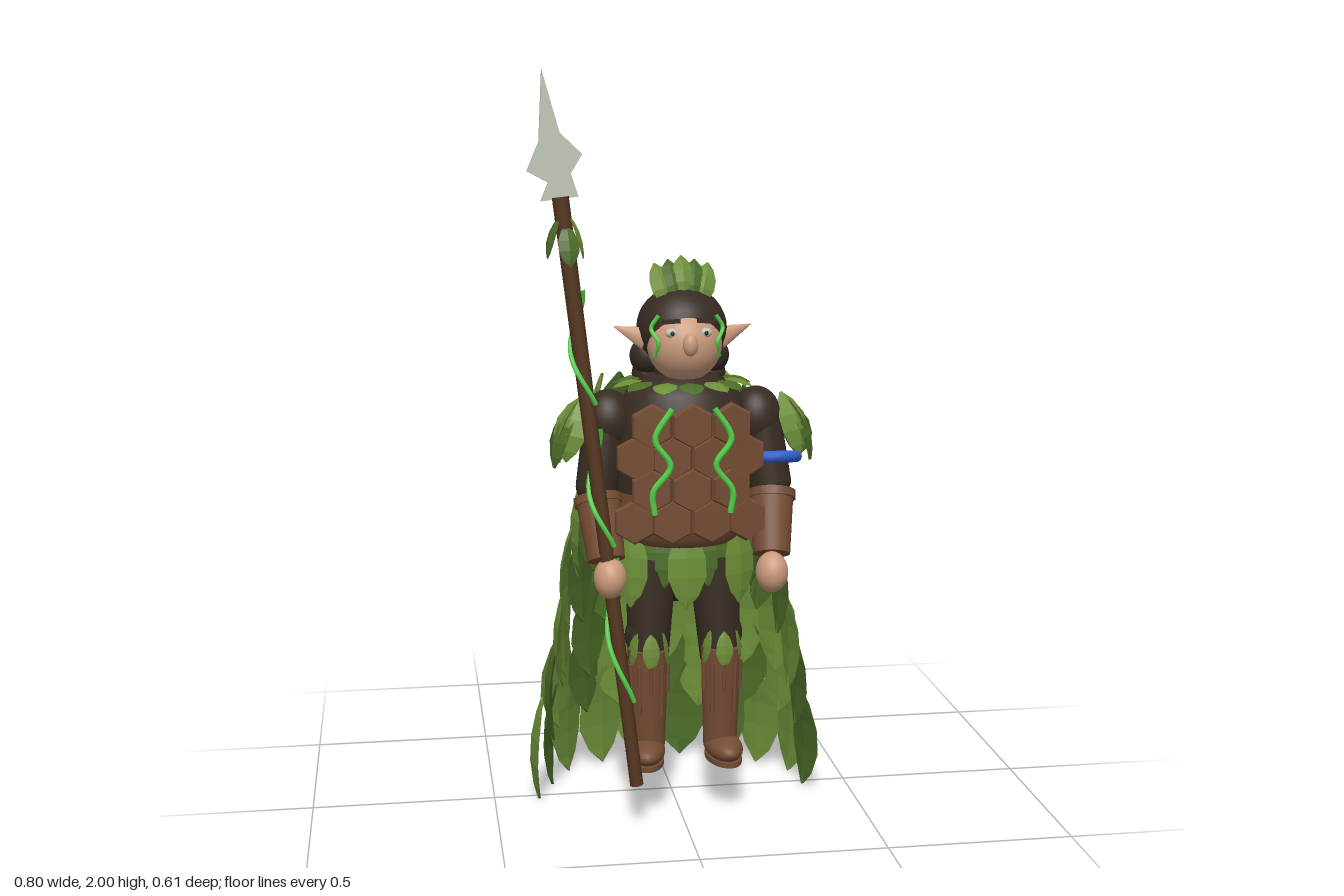
import * as THREE from 'three';

const V = (x, y, z) => new THREE.Vector3(x, y, z);
const CX = 0.017; // body axis

// Ridged leaf hanging from the origin to y = -1, outer face towards +z
function leafGeometry() {
  const rows = [[0, 0.08], [0.15, 0.62], [0.38, 0.98], [0.62, 1], [0.85, 0.6], [1, 0.03]];
  const ring = rows.map(([t, w]) => {
    const z = 0.18 * Math.sin(t * Math.PI);
    return [V(-w / 2, -t, z), V(0, -t, z + 0.16 * w + 0.04), V(w / 2, -t, z), V(0, -t, z - 0.06)];
  });
  const pos = [];
  const tri = (...p) => p.forEach((v) => pos.push(v.x, v.y, v.z));
  for (let i = 0; i < rows.length - 1; i++) {
    for (let j = 0; j < 4; j++) {
      const k = (j + 1) % 4;
      tri(ring[i][j], ring[i + 1][j], ring[i + 1][k]);
      tri(ring[i][j], ring[i + 1][k], ring[i][k]);
    }
  }
  const g = new THREE.BufferGeometry();
  g.setAttribute('position', new THREE.Float32BufferAttribute(pos, 3));
  g.computeVertexNormals();
  return g;
}

export function createModel() {
  const root = new THREE.Group();
  root.name = 'forestGuardian';
  const mat = (name, color) => {
    const m = new THREE.MeshStandardMaterial({ color });
    m.name = name;
    return m;
  };
  const dark = mat('darkCloth', 0x362b21), leafDark = mat('darkLeaf', 0x4c6c27);
  const leafLight = mat('lightLeaf', 0x6c8e38), vine = mat('vineGreen', 0x55d44a);
  const leather = mat('leather', 0x744c33), bark = mat('bark', 0x55351e);
  const skin = mat('skin', 0xcc9b7d), blue = mat('blueBand', 0x325fd0);
  const steel = mat('steel', 0xbcc3b2);
  leafDark.side = leafLight.side = THREE.DoubleSide;

  const add = (name, geo, m, p = V(0, 0, 0), parent = root) => {
    const o = new THREE.Mesh(geo, m);
    o.name = name;
    o.position.copy(p);
    parent.add(o);
    return o;
  };
  const group = (name) => {
    const g = new THREE.Group();
    g.name = name;
    root.add(g);
    return g;
  };
  const ball = (name, p, rx, ry, rz, m) => {
    const o = add(name, new THREE.SphereGeometry(1, 28, 18), m, p);
    o.scale.set(rx, ry, rz);
    return o;
  };
  // Tapered cylinder between two points
  const limb = (name, a, b, ra, rb, m, seg = 20) => {
    const d = b.clone().sub(a);
    const o = add(name, new THREE.CylinderGeometry(rb, ra, d.length(), seg), m, a.clone().add(b).multiplyScalar(0.5));
    o.quaternion.setFromUnitVectors(V(0, 1, 0), d.normalize());
    return o;
  };
  const tube = (name, pts, r, m) =>
    add(name, new THREE.TubeGeometry(new THREE.CatmullRomCurve3(pts), pts.length * 6, r, 6), m);
  const leafGeo = leafGeometry();
  // Negative pitch swings the tip outwards along the yaw direction
  const leaf = (parent, p, yaw, pitch, roll, w, h, m, thick = 0.09) => {
    const o = add('leaf', leafGeo, m, p, parent);
    o.rotation.set(pitch, yaw, roll, 'YXZ');
    o.scale.set(w, h, thick);
  };
  let seed = 7;
  const rnd = () => (seed = (seed * 16807) % 2147483647) / 2147483647 - 0.5;

  // Cape of overlapping leaf rows: top y, x radius, back radius, leaf count, leaf height
  const cape = group('leafCape');
  [[1.18, 0.195, 0.175, 6, 0.27], [1.04, 0.22, 0.2, 7, 0.28], [0.9, 0.245, 0.225, 8, 0.28],
    [0.76, 0.275, 0.24, 8, 0.29], [0.6, 0.305, 0.257, 9, 0.29], [0.46, 0.33, 0.28, 9, 0.29],
    [0.298, 0.357, 0.32, 10, 0.299]].forEach(([y, rx, rz, n, h], r) => {
    const last = r === 6;
    for (let i = 0; i < n; i++) {
      const a = Math.PI + ((i + 0.5) / n - 0.5) * 3.25;
      const k = 1 + (i % 2) * 0.04;
      leaf(cape, V(CX * 0.4 + Math.sin(a) * rx * k, y + (last ? 0 : rnd() * 0.04), 0.06 + Math.cos(a) * rz * k),
        a + rnd() * 0.4, -0.05, last ? 0 : rnd() * 0.15, (3.25 * rx / n) * 1.42, h, rnd() > 0 ? leafLight : leafDark, 0.08);
    }
  });

  // Torso: leather belly below, dark tunic above
  const body = (name, pts, m) => {
    const o = add(name, new THREE.LatheGeometry(pts.map((p) => new THREE.Vector2(...p)), 36), m, V(CX, 0, 0.085));
    o.scale.z = 0.82;
  };
  body('belly', [[0.001, 0.74], [0.14, 0.75], [0.175, 0.78], [0.188, 0.84], [0.19, 0.9]], leather);
  body('tunic', [[0.19, 0.895], [0.19, 1.03], [0.178, 1.1], [0.15, 1.16], [0.09, 1.2], [0.001, 1.22]], dark);
  ball('hips', V(CX, 0.68, 0.07), 0.15, 0.11, 0.085, dark);

  // Thin hexagonal plates across the chest
  [[1.09, [-0.105, 0, 0.105]], [1.005, [-0.052, 0.052, -0.145, 0.145]], [0.92, [-0.105, 0, 0.105]],
    [0.835, [-0.15, -0.052, 0.052, 0.15]]].forEach(([y, xs], r) => xs.forEach((x) => {
    const g = new THREE.CylinderGeometry(0.054, 0.061, 0.014, 6).toNonIndexed();
    g.rotateX(Math.PI / 2);
    g.computeVertexNormals();
    const o = add('chestPlate', g, leather, V(CX + x, y, 0.262 - 0.7 * x * x - (r % 2) * 0.003));
    o.rotation.y = x * 1.4;
  }));
  // Vines over the chest
  for (const s of [-1, 1]) {
    tube('chestVine', [[0.055, 1.14, 0.274], [0.1, 1.06, 0.276], [0.06, 0.99, 0.278], [0.105, 0.92, 0.272], [0.1, 0.86, 0.268]]
      .map(([x, y, z]) => V(CX + s * x, y, z)), 0.0085, vine);
  }

  // Flat leaf collar, and the skirt leaves under the belly
  const collar = group('leafCollar');
  for (let i = 0; i < 14; i++) {
    const a = (i / 14) * Math.PI * 2;
    leaf(collar, V(CX + Math.sin(a) * 0.115, 1.188, 0.085 + Math.cos(a) * 0.088), a, -1.35, rnd() * 0.6, 0.065, 0.078,
      i % 2 ? leafLight : leafDark, 0.03);
  }
  const skirt = group('leafSkirt');
  for (let i = 0; i < 9; i++) {
    const a = (i - 4) * 0.42;
    const back = i % 2;
    leaf(skirt, V(CX + Math.sin(a) * 0.19, 0.8, 0.06 + Math.cos(a) * (0.1 - back * 0.012)), a * 0.7, -0.06, 0, 0.105,
      back ? 0.19 : 0.225, back ? leafDark : leafLight, 0.04);
  }

  // Legs and boots, arms and shoulder leaves
  for (const s of [-1, 1]) {
    const x = CX + s * 0.1;
    limb('thigh', V(x - s * 0.015, 0.7, 0.09), V(x, 0.42, 0.125), 0.07, 0.055, dark);
    ball('knee', V(x, 0.49, 0.115), 0.062, 0.065, 0.055, dark);
    limb('bootShaft', V(x, 0.17, 0.125), V(x, 0.46, 0.137), 0.046, 0.056, leather);
    const shoe = ball('bootFoot', V(x + s * 0.006, 0.172, 0.145), 0.05, 0.036, 0.09, leather);
    shoe.rotation.y = s * 0.12;
    const sole = add('bootSole', new THREE.CylinderGeometry(1, 1, 0.014, 24), leather, V(x + s * 0.006, 0.143, 0.145));
    sole.scale.set(0.047, 1, 0.085);
    sole.rotation.y = s * 0.12;
    const kneeLeaves = group('kneeLeaves');
    for (let i = -2; i <= 2; i++) {
      const a = i * 0.6;
      if (i % 2 === 0) {
        leaf(kneeLeaves, V(x + Math.sin(a * 0.6) * 0.052, 0.51, 0.133 + Math.cos(a * 0.6) * 0.052), a, -0.08, i * 0.12, 0.046, 0.1,
          leafLight, 0.02);
      }
      limb('bootFringe', V(x + Math.sin(a) * 0.055, 0.42, 0.136 + Math.cos(a) * 0.055),
        V(x + Math.sin(a) * 0.053, 0.34 - (i & 1) * 0.06, 0.132 + Math.cos(a) * 0.054), 0.006, 0.006, leather, 6);
    }

    const P = (dx, y, z) => V(CX + s * dx, y, z);
    ball('shoulder', P(0.2, 1.08, 0.09), 0.07, 0.085, 0.07, dark);
    limb('upperArm', P(0.205, 1.1, 0.09), P(0.235, 0.91, 0.12), 0.06, 0.057, dark);
    ball('elbow', P(0.235, 0.91, 0.12), 0.057, 0.05, 0.057, dark);
    limb('bracer', P(0.235, 0.88, 0.14), P(0.222, 0.73, 0.215), 0.06, 0.05, leather);
    limb('bracerCuff', P(0.237, 0.885, 0.138), P(0.235, 0.865, 0.148), 0.064, 0.064, leather);
    ball('hand', P(0.216, 0.69, 0.25), 0.043, 0.055, 0.05, skin);
    const pad = group('shoulderLeaves');
    for (let i = 0; i < 4; i++) {
      const a = s * (0.6 + i * 0.6);
      leaf(pad, P(0.27 + 0.015 * (i % 2), 1.145 - 0.02 * (i % 2), 0.08), a, -0.38, rnd() * 0.3, 0.1, 0.18,
        i % 2 ? leafDark : leafLight, 0.08);
    }
  }
  const band = add('armBand', new THREE.TorusGeometry(0.068, 0.016, 10, 32), blue, V(0.255, 0.972, 0.112));
  band.rotation.set(Math.PI / 2 - 0.22, 0, 0);
  band.scale.y = 1.15;

  // Head, hair and face
  ball('face', V(CX, 1.288, 0.12), 0.1, 0.1, 0.1, skin);
  ball('hair', V(CX, 1.325, 0.073), 0.121, 0.112, 0.12, dark);
  limb('neck', V(CX, 1.15, 0.075), V(CX, 1.26, 0.075), 0.08, 0.07, dark);
  ball('nose', V(CX, 1.298, 0.225), 0.02, 0.03, 0.02, skin);
  for (const s of [-1, 1]) {
    [[1.245, 0.05], [1.195, 0.042], [1.15, 0.032]].forEach(([y, r], i) =>
      ball('hairLock', V(CX + s * 0.09, y, 0.035 - i * 0.013), r * 0.9, r, r, dark));
    ball('eye', V(CX + s * 0.045, 1.326, 0.196), 0.017, 0.013, 0.013, steel);
    ball('pupil', V(CX + s * 0.045, 1.326, 0.206), 0.006, 0.006, 0.006, dark);
    const brow = add('eyebrow', new THREE.BoxGeometry(0.045, 0.01, 0.014), dark, V(CX + s * 0.045, 1.356, 0.196));
    brow.rotation.z = -s * 0.06;
    const ear = limb('ear', V(CX + s * 0.1, 1.3, 0.095), V(CX + s * 0.185, 1.333, 0.09), 0.032, 0.001, skin, 14);
    ear.scale.z = 0.5;
    tube('cheekVine', [[0.075, 1.37, 0.17], [0.095, 1.335, 0.165], [0.078, 1.3, 0.185], [0.085, 1.26, 0.165]]
      .map(([x, y, z]) => V(CX + s * x, y, z)), 0.006, vine);
  }
  // Crest of upright leaves leaning back
  const crest = group('leafCrest');
  for (let i = -2; i <= 2; i++) {
    leaf(crest, V(CX + i * 0.036, 1.515 - Math.abs(i) * 0.01, 0.06), 0, -0.45, -i * 0.12, 0.06, 0.13,
      i % 2 ? leafDark : leafLight, 0.06);
  }

  // Spear: crooked shaft, blade, tied leaves and climbing vine
  const foot = V(-0.135, 0.125, 0.28), top = V(-0.315, 1.68, 0.203);
  limb('spearShaft', foot, top, 0.018, 0.022, bark, 9);
  const outline = [[-0.05, 0], [-0.025, 0.045], [-0.075, 0.08], [-0.035, 0.15], [-0.005, 0.325], [0.02, 0.165],
    [0.07, 0.105], [0.035, 0.06], [0.047, 0]].map((p) => new THREE.Vector2(...p));
  const bladeGeo = new THREE.ExtrudeGeometry(new THREE.Shape(outline), { depth: 0.018, bevelEnabled: false });
  bladeGeo.translate(0, 0, -0.009);
  const blade = add('spearBlade', bladeGeo, steel, top.clone().add(V(0, -0.005, -0.006)));
  blade.quaternion.setFromUnitVectors(V(0, 1, 0), top.clone().sub(foot).normalize());
  const tie = group('spearLeaves');
  [-1.3, 1.3, 0.2].forEach((a, i) =>
    leaf(tie, V(-0.305 + Math.sin(a) * 0.015, 1.63 - (i === 2) * 0.02, 0.206 + Math.cos(a) * 0.015), a, -0.3, 0, 0.055, 0.11,
      i === 1 ? leafLight : leafDark, 0.03));
  for (const [from, to] of [[0.15, 0.4], [0.42, 0.62], [0.66, 0.85]]) {
    const pts = [];
    for (let i = 0; i <= 14; i++) {
      const a = 0.6 + i * 0.42;
      pts.push(foot.clone().lerp(top, from + ((to - from) * i) / 14).add(V(Math.cos(a) * 0.025, 0, Math.sin(a) * 0.025)));
    }
    tube('spearVine', pts, 0.007, vine);
  }
  return root;
}
